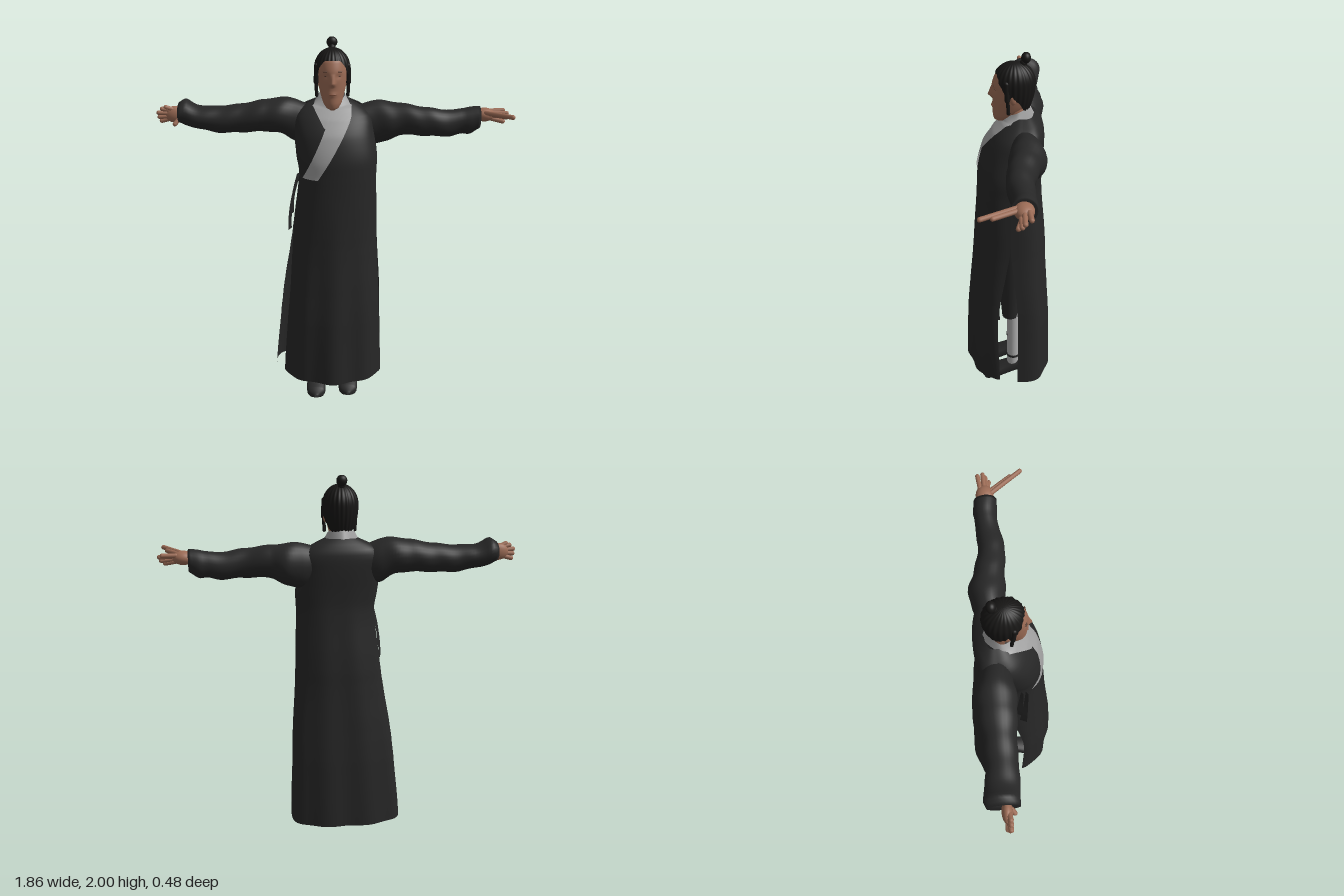
import * as THREE from 'three';

const material = (name, color) => Object.assign(new THREE.MeshStandardMaterial({ color, side: THREE.DoubleSide }), { name });

// Smoothly interpolate a table of rows whose first column is the key
function sample(rows, key) {
  let i = 0;
  while (i < rows.length - 2 && key > rows[i + 1][0]) i++;
  const a = rows[Math.max(i - 1, 0)], b = rows[i], c = rows[i + 1], d = rows[Math.min(i + 2, rows.length - 1)];
  const t = THREE.MathUtils.clamp((key - b[0]) / (c[0] - b[0]), 0, 1);
  return b.map((p, k) => p + 0.5 * t * (c[k] - a[k] + t * (2 * a[k] - 5 * p + 4 * c[k] - d[k] + t * (3 * (p - c[k]) + d[k] - a[k]))));
}

// Skin a grid of points; point(u, v) gives [x, y, z] for u across and v along
function loft(nu, nv, closed, point) {
  const pos = [], index = [], cols = closed ? nu : nu + 1;
  for (let j = 0; j <= nv; j++) for (let i = 0; i < cols; i++) pos.push(...point(i / nu, j / nv));
  for (let j = 0; j < nv; j++) for (let i = 0; i < nu; i++) {
    const a = j * cols + i, b = j * cols + (i + 1) % cols;
    index.push(a, b, a + cols, b, b + cols, a + cols);
  }
  const g = new THREE.BufferGeometry();
  g.setAttribute('position', new THREE.Float32BufferAttribute(pos, 3));
  g.setIndex(index);
  g.computeVertexNormals();
  return g;
}

// Robe panels: [y, xMin, xMax, side edge z, centre z]
const FRONT = [
  [0.145, -0.28, 0.265, 0.05, 0.232], [0.5, -0.255, 0.25, 0.06, 0.222], [0.65, -0.24, 0.245, 0.048, 0.21],
  [0.9, -0.225, 0.235, 0.008, 0.19], [1.02, -0.215, 0.232, -0.01, 0.182], [1.3, -0.185, 0.225, -0.01, 0.165],
  [1.4, -0.198, 0.228, -0.02, 0.158], [1.52, -0.205, 0.21, -0.04, 0.125], [1.6, -0.2, 0.195, -0.06, 0.075],
  [1.65, -0.16, 0.145, -0.07, 0.025], [1.685, -0.09, 0.075, -0.07, -0.02]];
const BACK = [
  [0.13, -0.33, 0.27, -0.05, -0.235], [0.5, -0.295, 0.26, -0.05, -0.225], [0.65, -0.275, 0.255, -0.045, -0.215],
  [0.9, -0.235, 0.238, -0.02, -0.2], [1.02, -0.217, 0.232, -0.01, -0.195], [1.3, -0.185, 0.225, -0.01, -0.172],
  [1.4, -0.198, 0.228, -0.02, -0.172], [1.52, -0.21, 0.215, -0.04, -0.18], [1.6, -0.215, 0.21, -0.06, -0.18],
  [1.65, -0.17, 0.155, -0.07, -0.165], [1.685, -0.09, 0.075, -0.07, -0.125]];
const frontPower = (y) => THREE.MathUtils.lerp(1.35, 0.7, Math.min(y / 1.3, 1));

function panel(rows, power, foldDepth, foldTop) {
  return loft(48, 60, false, (u, v) => {
    const y = THREE.MathUtils.lerp(rows[0][0], rows.at(-1)[0], v), t = u * Math.PI;
    const [, x0, x1, edge, peak] = sample(rows, y), fold = foldDepth * Math.max(0, 1 - y / foldTop) * Math.cos(8 * t) * Math.sin(t);
    return [(x0 + x1) / 2 - (x1 - x0) / 2 * Math.cos(t), y, edge + (peak - edge) * Math.sin(t) ** power(y) + fold];
  });
}

function frontZ(x, y) {
  const [, x0, x1, edge, peak] = sample(FRONT, y), c = (2 * x - x0 - x1) / (x1 - x0);
  return edge + (peak - edge) * Math.max(0, 1 - c * c) ** (frontPower(y) / 2);
}

// Sleeves: [distance from middle, centre y, centre z, half height, half depth]
const LEFT_SLEEVE = [
  [0.13, 1.55, -0.08, 0.095, 0.07], [0.2, 1.552, -0.088, 0.115, 0.084], [0.28, 1.555, -0.09, 0.108, 0.093],
  [0.35, 1.57, -0.075, 0.085, 0.08], [0.5, 1.56, -0.05, 0.075, 0.068], [0.62, 1.55, -0.06, 0.07, 0.062],
  [0.68, 1.56, -0.065, 0.067, 0.056], [0.72, 1.565, -0.065, 0.072, 0.062], [0.77, 1.58, -0.06, 0.058, 0.06]];
const RIGHT_SLEEVE = [
  [0.13, 1.555, -0.08, 0.095, 0.07], [0.2, 1.567, -0.088, 0.112, 0.086], [0.28, 1.59, -0.09, 0.095, 0.097],
  [0.35, 1.59, -0.09, 0.085, 0.095], [0.5, 1.575, -0.09, 0.075, 0.08], [0.62, 1.57, -0.09, 0.07, 0.078],
  [0.7, 1.58, -0.095, 0.062, 0.08], [0.74, 1.59, -0.1, 0.064, 0.085], [0.78, 1.605, -0.105, 0.07, 0.085],
  [0.815, 1.605, -0.1, 0.052, 0.075]];

function sleeve(rows, side) {
  const start = rows[0][0], end = rows.at(-1)[0];
  return loft(28, 46, true, (u, v) => {
    const inner = Math.max(0, (v * 46 - 44) / 2); // last rings turn back into the cuff
    const d = THREE.MathUtils.lerp(start, end, Math.min(1, v * 46 / 44)), t = u * 2 * Math.PI;
    const [, y, z, ry, rz] = sample(rows, d), r = (1 + 0.025 * Math.sin(48 * d + 2 * Math.sin(t))) * (1 - inner);
    return [side * (d - 0.03 * inner), y + ry * r * Math.sin(t), z + rz * r * Math.cos(t)];
  });
}

// Head: [y, half width, front z, back z]
const HEAD = [
  [1.645, 0.01, 0.055, 0.03], [1.655, 0.03, 0.071, 0], [1.68, 0.047, 0.078, -0.04], [1.72, 0.06, 0.079, -0.08],
  [1.76, 0.07, 0.08, -0.1], [1.8, 0.075, 0.082, -0.115], [1.84, 0.076, 0.082, -0.12], [1.89, 0.072, 0.066, -0.115],
  [1.92, 0.058, 0.04, -0.1], [1.945, 0.015, -0.01, -0.05]];
const CX = -0.008;
const bump = (d, w) => Math.exp(-((d / w) ** 2));

function headGeometry() {
  return loft(72, 60, true, (u, v) => {
    const y = THREE.MathUtils.lerp(1.645, 1.945, v), t = u * 2 * Math.PI, [, w, zf, zb] = sample(HEAD, y);
    const x = w * Math.cos(t);
    let z = (zf + zb) / 2 + (zf - zb) / 2 * Math.sin(t);
    if (Math.sin(t) > 0) {
      const ridge = y > 1.785 ? Math.max(0, 1 - (y - 1.785) / 0.05) : Math.max(0, 1 - (1.785 - y) / 0.018);
      z += 0.022 * ridge * bump(x, 0.012) + 0.005 * bump(y - 1.73, 0.012) * bump(x, 0.022);
      z -= 0.006 * bump(Math.abs(x) - 0.032, 0.016) * bump(y - 1.822, 0.013);
    }
    return [CX + x, y, z];
  });
}

// Combed hair running from the crown down to a rounded hairline and the nape
function hairGeometry() {
  return loft(120, 28, true, (u, v) => {
    const t = u * 2 * Math.PI, a = Math.min(u, 1 - u) * 2;
    const phi = v * (1.08 + 1.3 * THREE.MathUtils.smoothstep(a, 0.12, 0.5) + 0.72 * THREE.MathUtils.smoothstep(a, 0.52, 0.75));
    const low = Math.max(0, phi - Math.PI / 2);
    const r = (low ? 1 - 0.12 * low * low : Math.sin(phi)) * (1 + 0.022 * Math.cos(24 * t));
    const y = low ? 1.85 - 0.09 * low : 1.85 + 0.103 * Math.cos(phi);
    return [CX + 0.091 * r * Math.sin(t), y, -0.028 + 0.105 * r * Math.cos(t)];
  });
}

// Collar, front hem to nape to other side: [step, outer x, y, z, inner x, y, z]
const COLLAR = [
  [0, -0.085, 1.3, 0, -0.165, 1.3, 0], [1, 0, 1.44, 0, -0.1, 1.435, 0], [2, 0.08, 1.59, 0, -0.045, 1.562, 0],
  [3, 0.09, 1.65, 0.01, -0.015, 1.648, 0.04], [4, 0.085, 1.665, -0.05, 0.06, 1.71, -0.045],
  [5, -0.01, 1.67, -0.135, -0.01, 1.725, -0.108], [6, -0.105, 1.665, -0.05, -0.08, 1.71, -0.045],
  [7, -0.1, 1.645, 0.01, -0.01, 1.648, 0.035], [8, -0.05, 1.56, 0, 0.01, 1.58, 0]];

function collarGeometry() {
  return loft(10, 96, false, (u, v) => {
    const s = sample(COLLAR, v * 8), [x, y, z] = [1, 2, 3].map((k) => THREE.MathUtils.lerp(s[k], s[k + 3], u));
    const lift = v < 0.45 ? 0.009 : 0.005;
    return [x, y, z > -0.02 && y < 1.66 ? Math.max(z, frontZ(x, y) + lift) : z];
  });
}

// Shoe: [z, half width, sole y, top y]
const SHOE = [
  [-0.125, 0.012, 0.085, 0.12], [-0.1, 0.037, 0.07, 0.138], [-0.04, 0.042, 0.055, 0.135], [0.02, 0.047, 0.03, 0.108],
  [0.08, 0.054, 0.012, 0.08], [0.13, 0.046, 0.002, 0.058], [0.152, 0.01, 0.012, 0.03]];

function shoeGeometry() {
  return loft(24, 30, true, (u, v) => {
    const z = THREE.MathUtils.lerp(-0.125, 0.152, v), t = u * 2 * Math.PI, [, w, lo, hi] = sample(SHOE, z);
    const s = Math.sin(t);
    return [w * Math.cos(t), (lo + hi) / 2 + (hi - lo) / 2 * Math.sign(s) * Math.abs(s) ** 0.7, z];
  });
}

export function createModel() {
  const root = new THREE.Group();
  root.name = 'robedFigure';
  const robe = material('robeCloth', 0x272727), trim = material('collarCloth', 0xa0a0a0), skin = material('skin', 0x9c6c56);
  const hair = material('hair', 0x171615), sock = material('stocking', 0xb0b0b0), leather = material('shoe', 0x282828);
  const lip = material('lips', 0x85543f), brow = material('browAndEye', 0x543a2e);
  const add = (name, geometry, mat) => {
    const mesh = new THREE.Mesh(geometry, mat);
    mesh.name = name;
    root.add(mesh);
    return mesh;
  };
  const blob = (name, mat, p, s) => {
    const m = add(name, new THREE.SphereGeometry(1, 20, 14), mat);
    m.position.set(...p);
    m.scale.set(...s);
  };
  const rod = (name, mat, a, b, r) => {
    const from = new THREE.Vector3(...a), dir = new THREE.Vector3(...b).sub(from);
    const m = add(name, new THREE.CapsuleGeometry(r, Math.max(0.001, dir.length() - 2 * r), 4, 10), mat);
    m.position.copy(from).addScaledVector(dir, 0.5);
    m.quaternion.setFromUnitVectors(new THREE.Vector3(0, 1, 0), dir.normalize());
  };
  const post = (name, mat, x, z, y0, y1, r0, r1) =>
    add(name, new THREE.CylinderGeometry(r1, r0, y1 - y0, 20), mat).position.set(x, (y0 + y1) / 2, z);

  // Robe, slit at both sides
  add('robeFront', panel(FRONT, frontPower, 0.012, 1.2), robe);
  add('robeBack', panel(BACK, () => 0.55, 0.008, 1.6), robe);
  add('leftSleeve', sleeve(LEFT_SLEEVE, 1), robe);
  add('rightSleeve', sleeve(RIGHT_SLEEVE, -1), robe);
  add('collar', collarGeometry(), trim);
  // Hanging ties
  [[1, 0.07, 0.31], [0.75, 0.045, 0.23]].forEach(([out, z0, drop]) => add('sideTie', loft(1, 12, false, (u, v) =>
    [-0.186 - 0.05 * out * Math.sin(v * 1.7) - (u - 0.5) * 0.016, 1.31 - drop * v, z0 - 0.02 * v + (u - 0.5) * (0.012 + 0.024 * v)]), robe));

  // Head and hair
  add('head', headGeometry(), skin);
  rod('neck', skin, [CX, 1.54, -0.05], [CX, 1.78, -0.025], 0.048);
  add('hairCap', hairGeometry(), hair);
  blob('topKnot', hair, [CX, 1.972, -0.085], [0.028, 0.028, 0.024]);
  rod('knotTie', hair, [CX, 1.925, -0.065], [CX, 1.965, -0.08], 0.018);
  blob('mouth', lip, [CX, 1.73, 0.08], [0.019, 0.005, 0.006]);
  for (const s of [-1, 1]) {
    blob('eye', brow, [CX + s * 0.031, 1.823, 0.065], [0.011, 0.0035, 0.004]);
    blob('eyebrow', brow, [CX + s * 0.033, 1.845, 0.07], [0.018, 0.0028, 0.004]);
    blob('ear', skin, [CX + s * 0.077, 1.785, -0.022], [0.012, 0.028, 0.017]);
    rod('sideLock', hair, [CX + s * 0.08, 1.88, 0.012], [CX + s * 0.083, 1.77, 0.005], 0.013);
    rod('sideLockTip', hair, [CX + s * 0.083, 1.79, 0.005], [CX + s * 0.08, 1.705, 0], 0.009);
  }

  // Hands
  blob('leftPalm', skin, [0.795, 1.595, -0.06], [0.055, 0.036, 0.046]);
  [[[0.82, 1.61, -0.08], [0.91, 1.612, -0.09]], [[0.82, 1.605, -0.06], [0.925, 1.6, -0.062]],
    [[0.82, 1.59, -0.045], [0.918, 1.58, -0.05]], [[0.79, 1.61, -0.035], [0.912, 1.622, 0.138]],
    [[0.805, 1.605, -0.04], [0.89, 1.612, 0.085]], [[0.81, 1.58, -0.055], [0.9, 1.562, -0.03]]]
    .forEach(([a, b]) => rod('leftFinger', skin, a, b, 0.012));
  blob('rightPalm', skin, [-0.835, 1.598, -0.085], [0.055, 0.044, 0.026]);
  [[[-0.85, 1.62, -0.08], [-0.91, 1.632, -0.07]], [[-0.86, 1.605, -0.08], [-0.93, 1.61, -0.072]],
    [[-0.86, 1.59, -0.08], [-0.927, 1.585, -0.078]], [[-0.85, 1.578, -0.085], [-0.918, 1.56, -0.088]],
    [[-0.81, 1.58, -0.07], [-0.84, 1.545, -0.045]], [[-0.83, 1.62, -0.08], [-0.89, 1.643, -0.07]]]
    .forEach(([a, b]) => rod('rightFinger', skin, a, b, 0.012));

  // Legs and shoes
  for (const [x, lift] of [[-0.102, 0], [0.078, 0.014]]) {
    post('trouserLeg', robe, x, -0.01, 0.47, 1.1, 0.045, 0.1);
    post('stocking', sock, x, -0.028, 0.09, 0.5, 0.036, 0.034);
    post('ankleStrap', leather, x, -0.028, 0.178, 0.192, 0.038, 0.038);
    add('shoe', shoeGeometry(), leather).position.set(x, lift, 0);
  }
  return root;
}
